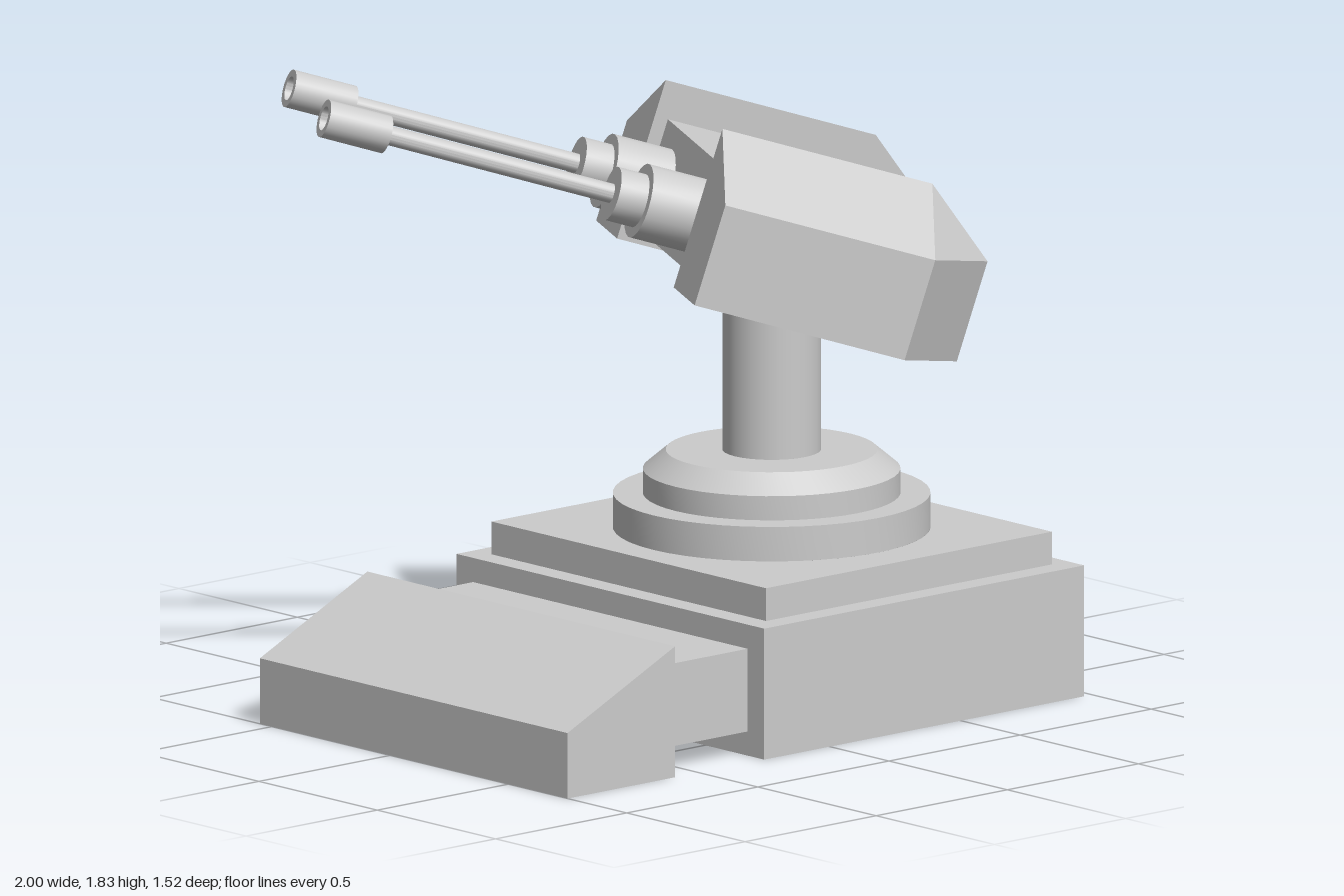
import * as THREE from 'three';
import { toCreasedNormals } from 'three/addons/utils/BufferGeometryUtils.js';
import { ConvexGeometry } from 'three/addons/geometries/ConvexGeometry.js';

const solid = new THREE.MeshStandardMaterial({ color: 0xcccccc });
const sheet = new THREE.MeshStandardMaterial({ color: 0xcccccc, side: THREE.DoubleSide });

function add(parent, name, geometry, material = solid) {
  const mesh = new THREE.Mesh(geometry, material);
  mesh.name = name;
  parent.add(mesh);
  return mesh;
}

// Chosen walls of a box without a floor; the roof runs from height yL at x0 to yR at x1
function openBox(x0, x1, z0, z1, y0, yL, yR, walls) {
  const quads = {
    front: [[x0, y0, z1], [x1, y0, z1], [x1, yR, z1], [x0, yL, z1]],
    back: [[x1, y0, z0], [x0, y0, z0], [x0, yL, z0], [x1, yR, z0]],
    minX: [[x0, y0, z0], [x0, y0, z1], [x0, yL, z1], [x0, yL, z0]],
    plusX: [[x1, y0, z1], [x1, y0, z0], [x1, yR, z0], [x1, yR, z1]],
    top: [[x0, yL, z1], [x1, yR, z1], [x1, yR, z0], [x0, yL, z0]],
  };
  const position = [];
  for (const wall of walls) {
    const q = quads[wall];
    for (const i of [0, 1, 2, 0, 2, 3]) position.push(...q[i]);
  }
  const g = new THREE.BufferGeometry();
  g.setAttribute('position', new THREE.Float32BufferAttribute(position, 3));
  g.computeVertexNormals();
  return g;
}

const rect = (Type, a0, a1, b0, b1) => new Type([[a0, b0], [a1, b0], [a1, b1], [a0, b1]]
  .map(([a, b]) => new THREE.Vector2(a, b)));

// Flat rectangular plate with one opening
function plate(a0, a1, b0, b1, hole) {
  const shape = rect(THREE.Shape, a0, a1, b0, b1);
  shape.holes.push(hole);
  return new THREE.ShapeGeometry(shape, 32);
}

function lathe(profile, segments) {
  const points = profile.map(([r, y]) => new THREE.Vector2(r, y));
  return toCreasedNormals(new THREE.LatheGeometry(points, segments), 0.5);
}

// Stepped hollow base, joint and sloped ramp
function buildBase() {
  const base = new THREE.Group();
  base.name = 'base';
  const cx = 0.365, cz = 0.1;
  const z0 = -0.55, z1 = 0.75, n0 = -0.48, n1 = 0.68;

  add(base, 'baseWalls', openBox(-0.25, 0.97, z0, z1, 0, 0.38, 0.38, ['front', 'back', 'plusX']), sheet);
  add(base, 'baseLedge', plate(-0.25, 0.97, -z1, -z0, rect(THREE.Path, -0.18, 0.91, -n1, -n0))
    .rotateX(-Math.PI / 2).translate(0, 0.38, 0), sheet);
  add(base, 'stepWalls', openBox(-0.18, 0.91, n0, n1, 0.38, 0.475, 0.475, ['front', 'back', 'minX', 'plusX']), sheet);
  add(base, 'stepTop', plate(-0.18, 0.91, -n1, -n0, new THREE.Path().absarc(cx, -cz, 0.45, 0, Math.PI * 2))
    .rotateX(-Math.PI / 2).translate(0, 0.475, 0), sheet);

  // End walls, open where the joint passes through
  add(base, 'baseEndWall', plate(z0, z1, 0, 0.38, rect(THREE.Path, n0, n1, 0.07, 0.31))
    .rotateY(-Math.PI / 2).translate(-0.25, 0, 0), sheet);
  add(base, 'rampEndWall', plate(-z1, -z0, 0, 0.38, rect(THREE.Path, -n1, -n0, 0.07, 0.31))
    .rotateY(Math.PI / 2).translate(-0.59, 0, 0), sheet);
  add(base, 'joint', openBox(-0.59, -0.25, n0, n1, 0.07, 0.31, 0.31, ['front', 'back', 'top']), sheet);
  add(base, 'ramp', openBox(-1, -0.59, z0, z1, 0, 0.19, 0.38, ['front', 'back', 'minX', 'top']), sheet);

  // Round turntable and column
  add(base, 'turntable', lathe([[0.45, 0.475], [0.45, 0.575], [0.365, 0.575], [0.365, 0.645],
    [0.3, 0.7], [0.14, 0.7]], 48).translate(cx, 0, cz), sheet);
  add(base, 'column', new THREE.CylinderGeometry(0.14, 0.14, 0.54, 32, 1, true)
    .translate(cx, 0.97, cz), sheet);
  return base;
}

// Gun head, built along +x and then turned and tilted
function buildHead() {
  const head = new THREE.Group();
  head.name = 'head';
  head.position.set(0.36, 1.3, 0.105);
  head.rotation.set(0, Math.PI - 0.485, 0.305, 'YZX');

  const at = (profile, z) => profile.map(([x, y]) => new THREE.Vector3(x, y, z));
  const bodyProfile = [[0.3, -0.1], [0.3, 0.22], [-0.297, 0.22], [-0.485, 0.11], [-0.485, -0.1]];
  add(head, 'body', new ConvexGeometry([...at(bodyProfile, -0.325), ...at(bodyProfile, 0.325)]));

  const inner = [[0.34, -0.147], [0.34, 0.327], [-0.303, 0.327], [-0.527, 0.152], [-0.527, -0.147]];
  const outer = [[0.34, -0.147], [0.34, 0.152], [-0.303, 0.152], [-0.303, -0.147]];
  for (const side of [-1, 1]) {
    // Faceted side armour
    add(head, side < 0 ? 'leftArmour' : 'rightArmour',
      new ConvexGeometry([...at(inner, side * 0.325), ...at(outer, side * 0.565)]));

    // Breech, collar, barrel and bored muzzle in one turned profile
    const gun = lathe([[0, 0.28], [0.108, 0.28], [0.108, 0.475], [0.078, 0.475], [0.078, 0.56],
      [0.028, 0.56], [0.028, 1.25], [0.055, 1.25], [0.055, 1.44], [0.035, 1.44], [0.035, 1.34], [0, 1.34]], 24);
    add(head, side < 0 ? 'leftGun' : 'rightGun',
      gun.rotateZ(-Math.PI / 2).translate(0, 0.05, side * 0.2));
  }
  return head;
}

export function createModel() {
  const model = new THREE.Group();
  model.name = 'turret';
  model.add(buildBase(), buildHead());
  return model;
}
